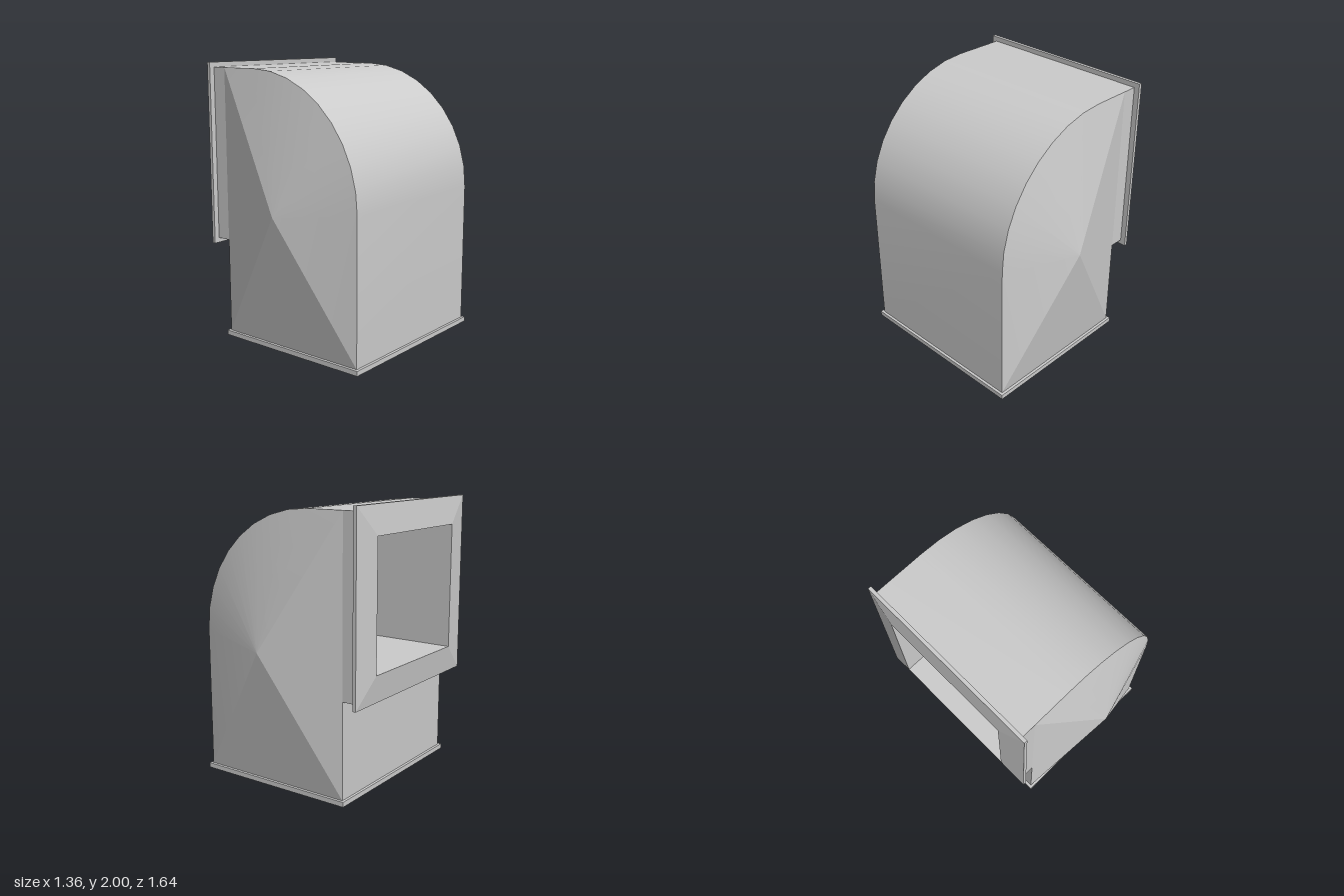
import * as THREE from 'three';
import { toCreasedNormals } from 'three/addons/utils/BufferGeometryUtils.js';

const HALF = 0.66; // half depth of the duct body
const material = new THREE.MeshStandardMaterial({ color: 0xcccccc });

// Mesh from a list of triangles, smoothing only shallow angles
function meshOf(name, triangles, crease) {
  const geometry = new THREE.BufferGeometry();
  geometry.setAttribute('position', new THREE.Float32BufferAttribute(triangles.flat(2), 3));
  const mesh = new THREE.Mesh(toCreasedNormals(geometry, crease), material);
  mesh.name = name;
  return mesh;
}

const quad = (a, b, c, d) => [[a, b, c], [a, c, d]];

// Rectangular cross-sections [x, yMin, yMax, halfZ] joined in order along x
function loft(name, sections) {
  const rings = sections.map(([x, y0, y1, h]) => [[x, y0, -h], [x, y1, -h], [x, y1, h], [x, y0, h]]);
  const triangles = [];
  for (let i = 0; i < rings.length - 1; i++) {
    for (let k = 0; k < 4; k++) {
      const n = (k + 1) % 4;
      triangles.push(...quad(rings[i][k], rings[i + 1][k], rings[i + 1][n], rings[i][n]));
    }
  }
  return meshOf(name, triangles, 0.05);
}

// Strip across the depth that follows a counter-clockwise outline
function strip(name, points) {
  const triangles = [];
  for (let i = 0; i < points.length - 1; i++) {
    const [p, q] = [points[i], points[i + 1]];
    triangles.push(...quad([...p, HALF], [...p, -HALF], [...q, -HALF], [...q, HALF]));
  }
  return meshOf(name, triangles, 0.4);
}

// Pointed side panel: a fan from the outline to one apex
function sidePanel(name, outline, side) {
  const apex = [0.065, 1.0, side * 0.82];
  const triangles = outline.map((p, i) => {
    const q = outline[(i + 1) % outline.length];
    const [a, b] = side > 0 ? [p, q] : [q, p];
    return [[...a, side * HALF], [...b, side * HALF], apex];
  });
  return meshOf(name, triangles, 0.15);
}

export function createModel() {
  const group = new THREE.Group();
  group.name = 'ductElbow';

  // Elbow outline: straight back, rounded shoulder, flat roof
  const arc = [];
  const steps = 9;
  for (let i = 0; i <= steps; i++) {
    const t = (i / steps) * Math.PI / 2;
    arc.push([-0.245 + 0.9 * Math.cos(t), 1.065 + 0.9 * Math.sin(t)]);
  }
  const backAndRoof = [[0.655, 0.035], ...arc, [-0.525, 1.965]];

  group.add(strip('curvedShell', backAndRoof));
  group.add(strip('lowerWall', [[-0.525, 0.725], [-0.525, 0.035]]));

  // Pyramid-like panels on both sides
  const outline = [[-0.525, 0.035], ...backAndRoof];
  group.add(sidePanel('frontPanel', outline, 1));
  group.add(sidePanel('rearPanel', outline, -1));

  // Base plate
  const base = new THREE.Mesh(new THREE.BoxGeometry(1.22, 0.035, 1.36), material);
  base.position.set(0.065, 0.0175, 0);
  base.name = 'basePlate';
  group.add(base);

  // Neck, bevelled flange and recessed opening
  group.add(loft('neck', [
    [-0.525, 0.725, 1.965, HALF], [-0.63, 0.725, 1.965, HALF],
  ]));
  group.add(loft('flange', [
    [-0.63, 0.725, 1.965, HALF], [-0.63, 0.69, 2, 0.7],
    [-0.655, 0.69, 2, 0.7], [-0.68, 0.89, 1.8, 0.495],
  ]));
  group.add(loft('openingLiner', [
    [-0.68, 0.89, 1.8, 0.495], [0.24, 0.89, 1.8, 0.495], [0.24, 1.345, 1.345, 0],
  ]));

  return group;
}
